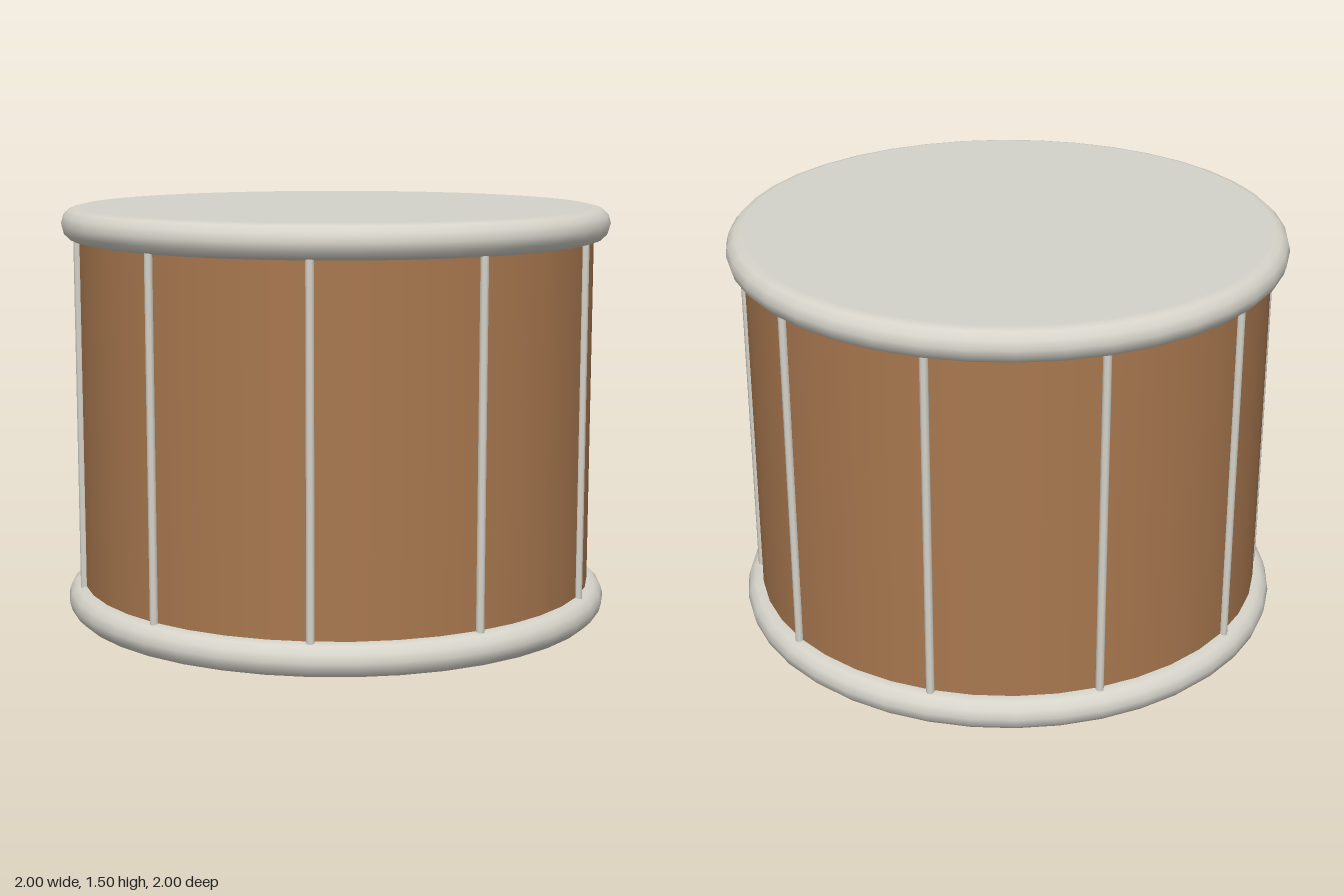
import * as THREE from 'three';

const HEIGHT = 1.5, RADIUS = 0.94, TUBE = 0.06, SIDES = 40, RODS = 10;

function material(name, color) {
  const m = new THREE.MeshStandardMaterial({ color });
  m.name = name;
  return m;
}

export function createModel() {
  const wood = material('brown wood', 0xa9784f);
  const metal = material('pale metal', 0xd6d4ca);
  const skin = material('drum skin', 0xd3d3cb);

  const drum = new THREE.Group();
  drum.name = 'drum';
  const add = (name, geometry, mat, x, y, z) => {
    const mesh = new THREE.Mesh(geometry, mat);
    mesh.name = name;
    mesh.position.set(x, y, z);
    drum.add(mesh);
    return mesh;
  };

  // Wooden shell, closed by a skin at each end
  add('shell', new THREE.CylinderGeometry(RADIUS, RADIUS, HEIGHT, SIDES, 1, true), wood, 0, HEIGHT / 2, 0);
  const disc = new THREE.CircleGeometry(RADIUS, SIDES);
  add('topHead', disc, skin, 0, HEIGHT, 0).rotation.x = -Math.PI / 2;
  add('bottomHead', disc, skin, 0, 0, 0).rotation.x = Math.PI / 2;

  // Rounded hoops around both ends
  const hoop = new THREE.TorusGeometry(RADIUS, TUBE, 12, SIDES).rotateX(Math.PI / 2);
  add('topHoop', hoop, metal, 0, HEIGHT - TUBE, 0);
  add('bottomHoop', hoop, metal, 0, TUBE, 0);

  // Slim tension rods between the hoops
  const rod = new THREE.CylinderGeometry(0.015, 0.015, HEIGHT - 2 * TUBE, 8);
  for (let i = 0; i < RODS; i++) {
    const a = (i / RODS) * Math.PI * 2;
    add('tensionRod', rod, metal, Math.cos(a) * 0.945, HEIGHT / 2, Math.sin(a) * 0.945);
  }

  return drum;
}
